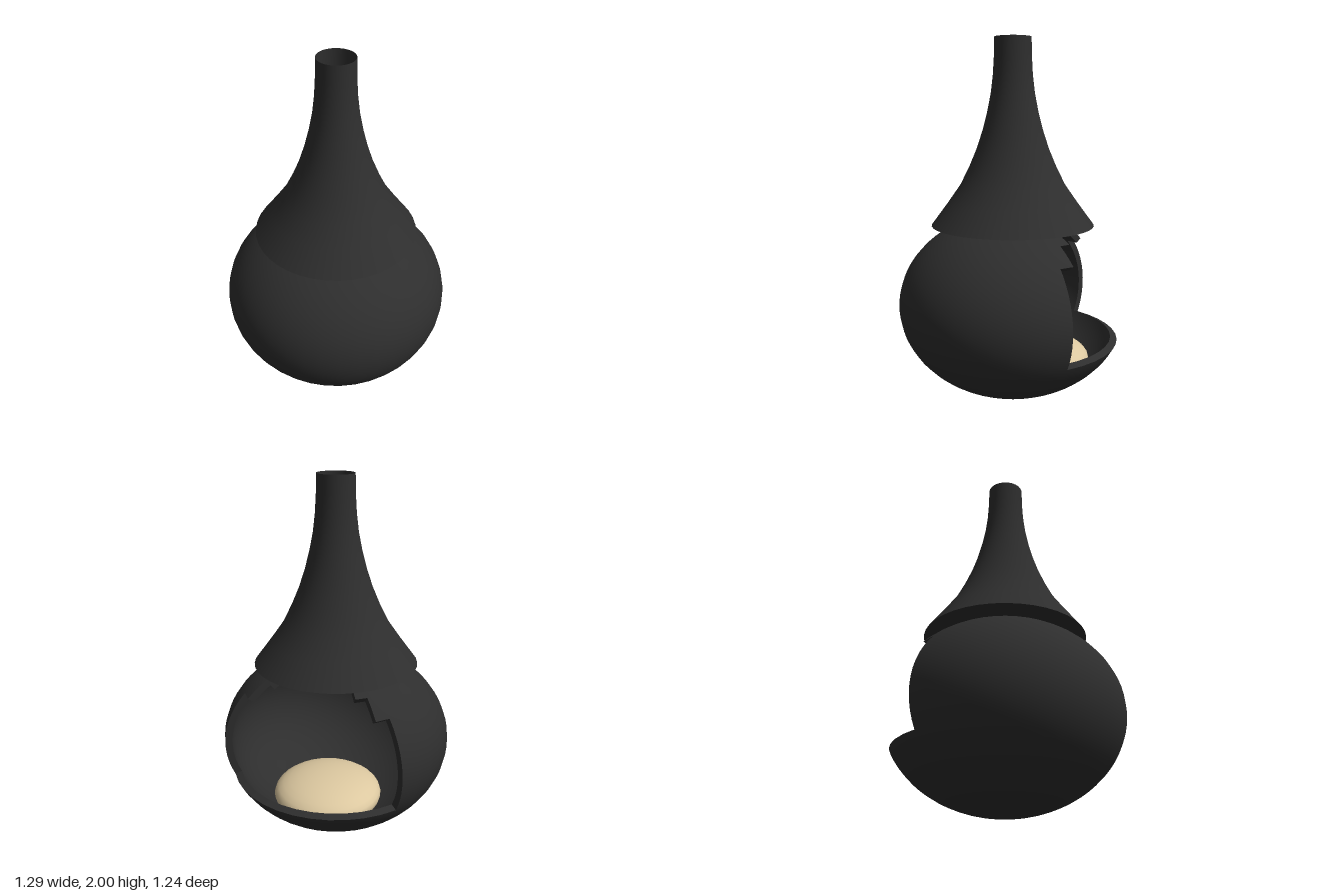
import * as THREE from 'three';
import { ParametricGeometry } from 'three/addons/geometries/ParametricGeometry.js';

const DEG = Math.PI / 180;
const CENTRE_Y = 0.52;
const OUTER = [0.645, 0.52]; // bowl radius and half height
const INNER = [0.605, 0.48];

export function createModel() {
  const iron = new THREE.MeshStandardMaterial({ color: 0x2e2e2e, side: THREE.DoubleSide });
  iron.name = 'black iron';
  const ash = new THREE.MeshStandardMaterial({ color: 0xdcc8a0 });
  ash.name = 'pale ash';

  const model = new THREE.Group();
  model.name = 'gardenFireplace';
  model.position.z = -0.025;

  const add = (parent, name, geometry, material = iron) => {
    const mesh = new THREE.Mesh(geometry, material);
    mesh.name = name;
    parent.add(mesh);
    return mesh;
  };

  // Point in the bowl wall: azimuth from the back, angle from the top, depth 0 outside to 1 inside
  const wallPoint = (azimuth, polar, depth, target) => {
    const r = THREE.MathUtils.lerp(OUTER[0], INNER[0], depth) * Math.sin(polar * DEG);
    const h = THREE.MathUtils.lerp(OUTER[1], INNER[1], depth) * Math.cos(polar * DEG);
    target.set(r * Math.sin(azimuth * DEG), CENTRE_Y + h, -r * Math.cos(azimuth * DEG));
  };
  const mix = THREE.MathUtils.lerp;

  // Bowl, in bands from top to bottom: [polar start, polar end, half angle of the opening]
  const bowl = new THREE.Group();
  bowl.name = 'bowl';
  model.add(bowl);
  const bands = [
    [0.05, 30, 0],
    [30, 40, 36],
    [40, 53.5, 45],
    [53.5, 112, 54],
    [112, 179.95, 0],
  ];
  bands.forEach(([p0, p1, open], i) => {
    const a0 = open, a1 = 360 - open;
    const slices = Math.round((a1 - a0) / 9);
    const stacks = Math.max(2, Math.round((p1 - p0) / 5));
    for (const depth of [0, 1]) {
      add(bowl, depth ? 'bowlInside' : 'bowlOutside', new ParametricGeometry((u, v, t) =>
        // azimuth runs the other way inside so that the face points inwards
        wallPoint(depth ? mix(a1, a0, u) : mix(a0, a1, u), mix(p0, p1, v), depth, t), slices, stacks));
    }
    // Side edges of the opening
    if (open) {
      for (const a of [a0, a1]) {
        add(bowl, 'openingSide', new ParametricGeometry((u, v, t) =>
          wallPoint(a, mix(p0, p1, v), u, t), 1, stacks));
      }
    }
    // Stepped lintel and sill edges, where this band and the next differ in opening width
    const next = bands[i + 1];
    if (next && next[2] !== open) {
      const lo = Math.min(open, next[2]), hi = Math.max(open, next[2]);
      const spans = lo === 0 ? [[-hi, hi]] : [[lo, hi], [-hi, -lo]];
      for (const [s, e] of spans) {
        add(bowl, 'openingEdge', new ParametricGeometry((u, v, t) =>
          wallPoint(mix(s, e, u), p1, v, t), Math.round((e - s) / 9), 1));
      }
    }
  });

  // Flared chimney, open at the top
  const flare = [
    [0.455, 0.975], [0.425, 1.015], [0.362, 1.1], [0.292, 1.2], [0.242, 1.3], [0.2, 1.4],
    [0.167, 1.5], [0.141, 1.6], [0.121, 1.7], [0.109, 1.8], [0.103, 1.9], [0.101, 2],
  ].map(([r, y]) => new THREE.Vector2(r, y));
  add(model, 'chimney', new THREE.LatheGeometry(flare, 40));

  // Flat plate closing the chimney's base
  const plate = add(model, 'chimneyBase', new THREE.CircleGeometry(0.455, 40));
  plate.rotation.x = Math.PI / 2;
  plate.position.y = 0.975;

  // Mound of ash on the bowl's floor
  const mound = add(model, 'ashMound', new THREE.SphereGeometry(1, 32, 16), ash);
  mound.scale.set(0.31, 0.12, 0.31);
  mound.position.set(0, 0.2, -0.13);

  return model;
}
